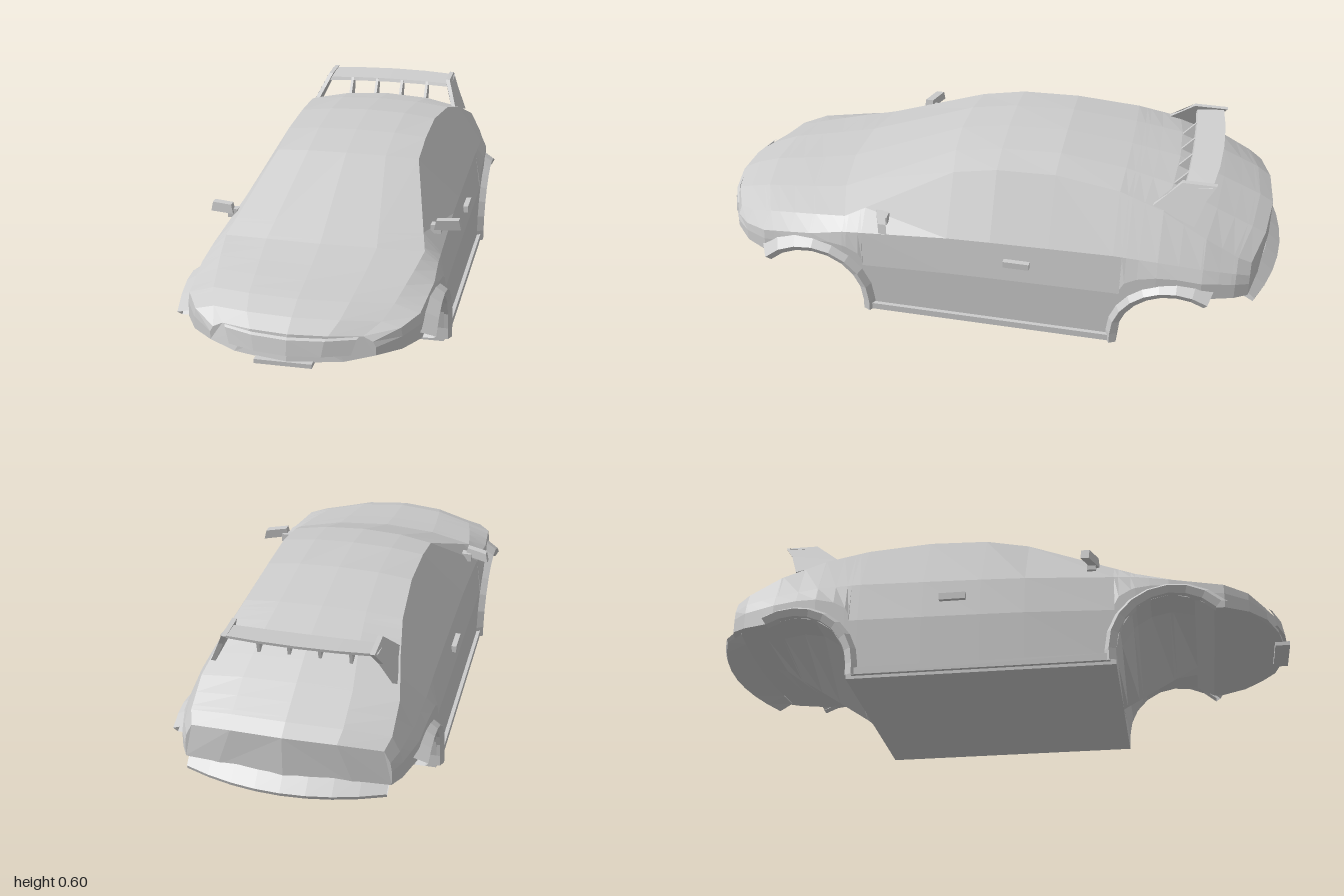
import * as THREE from 'three';

const material = new THREE.MeshStandardMaterial({ color: 0xcccccc, flatShading: true, side: THREE.DoubleSide });

// Body stations: z, widest x, belt x, belt y, top-edge x, top-edge y, centre y, plan bow
const KEYS = [
  [0.92, 0.26, 0.25, 0.235, 0.22, 0.25, 0.262, 1.2],
  [0.86, 0.33, 0.325, 0.26, 0.265, 0.275, 0.292, 0.9],
  [0.78, 0.375, 0.37, 0.275, 0.29, 0.3, 0.318, 0.8],
  [0.6, 0.39, 0.385, 0.3, 0.32, 0.335, 0.35, 0.6],
  [0.49, 0.395, 0.38, 0.32, 0.335, 0.355, 0.375, 0.5],
  [0.12, 0.395, 0.375, 0.345, 0.25, 0.535, 0.55, 0.4],
  [-0.03, 0.395, 0.375, 0.35, 0.25, 0.565, 0.58, 0.1],
  [-0.23, 0.395, 0.375, 0.355, 0.25, 0.572, 0.59, 0],
  [-0.45, 0.395, 0.375, 0.36, 0.265, 0.548, 0.565, -0.1],
  [-0.6, 0.395, 0.375, 0.355, 0.29, 0.505, 0.535, -0.3],
  [-0.75, 0.385, 0.365, 0.34, 0.32, 0.435, 0.47, -0.3],
  [-0.86, 0.355, 0.345, 0.325, 0.32, 0.375, 0.413, -0.5],
  [-0.905, 0.33, 0.325, 0.31, 0.305, 0.35, 0.385, -0.57],
];
const ARCHES = [
  { name: 'front', z: 0.61, dir: 1, lip: 0.19, end: 2.4 },
  { name: 'rear', z: -0.67, dir: -1, lip: 0.23, end: 2.1 },
];
const R = 0.19, AXLE = 0.05, LINER = 0.27;

function keyAt(z) {
  let i = 0;
  while (i < KEYS.length - 2 && z < KEYS[i + 1][0]) i++;
  const a = KEYS[i], b = KEYS[i + 1];
  const t = THREE.MathUtils.clamp((z - a[0]) / (b[0] - a[0]), 0, 1);
  return a.map((v, k) => v + (b[k] - v) * t);
}

// Heights of the lower edge: at the sides (wheel arch) and on the centre line
function lowerEdge(z) {
  const arch = ARCHES[z > 0 ? 0 : 1];
  const d = (z - arch.z) * arch.dir;
  if (d < -R - 0.0005) return [0, 0];
  const y = AXLE + Math.sqrt(Math.max(0, R * R - d * d));
  const chord = Math.min(1, Math.max(0, (d + R) / 0.34)) * arch.lip;
  return [d > 0 ? Math.max(arch.lip, y) : y, chord];
}

function makeMesh(name, points, index) {
  const geometry = new THREE.BufferGeometry();
  geometry.setAttribute('position', new THREE.Float32BufferAttribute(points.flat(), 3));
  geometry.setIndex(index);
  geometry.computeVertexNormals();
  const mesh = new THREE.Mesh(geometry, material);
  mesh.name = name;
  return mesh;
}

// Triangles joining consecutive rows of n points
function loftIndex(rows, n, closed) {
  const index = [];
  for (let i = 0; i < rows - 1; i++) {
    for (let j = 0; j < (closed ? n : n - 1); j++) {
      const a = i * n + j, b = i * n + (j + 1) % n;
      index.push(a, b, b + n, a, b + n, a + n);
    }
  }
  return index;
}

function loft(name, rows, closed = false) {
  return makeMesh(name, rows.flat(), loftIndex(rows.length, rows[0].length, closed));
}

function section(z) {
  const [, xw, xb, yb, xt, yt, yc, bow] = keyAt(z);
  const [y0, ym] = lowerEdge(z);
  const end = z > 0.81 || z < -0.87;
  const curve = x => z + bow * Math.max(0, xt * xt - x * x);
  const xi = Math.min(LINER, xw * 0.66);
  const under = x => (end ? curve(x) + (z > 0.9 ? 0.018 : 0) : z);
  const half = [
    [0, yc, curve(0)],
    [xt * 0.55, yt + (yc - yt) * 0.75, curve(xt * 0.55)],
    [xt, yt, z],
    [xb, yb, z],
    [xw, y0 + (yb - y0) * 0.6, z],
    [xw, y0, z],
    [xi, y0 - (z > 0.9 ? 0.01 : 0), under(xi)],
    [0, ym - (z > 0.9 ? 0.015 : 0), under(0)],
  ];
  return [...half, ...half.slice(1, 7).reverse().map(([x, y, w]) => [-x, y, w])];
}

// Shell with cabin, bonnet, floor and wheel wells in one closed loft
function makeBody() {
  const stations = KEYS.map(k => k[0]);
  for (const a of ARCHES) {
    for (let k = 0; k <= 8; k++) stations.push(a.z - a.dir * R * Math.cos(k * Math.PI / 8));
    stations.push(a.z - a.dir * (R + 0.001));
  }
  stations.sort((a, b) => b - a);
  const rows = stations.map(section);
  const n = rows[0].length;
  const index = loftIndex(rows.length, n, true);
  const cap = [[0, 7, 6], [0, 6, 1], [1, 6, 5], [1, 5, 2], [2, 5, 4], [2, 4, 3]];
  const last = (rows.length - 1) * n;
  for (const [a, b, c] of cap) {
    const [ma, mb, mc] = [a, b, c].map(k => (n - k) % n);
    index.push(a, b, c, ma, mc, mb);
    index.push(last + a, last + c, last + b, last + ma, last + mb, last + mc);
  }
  return makeMesh('body', rows.flat(), index);
}

// Raised lip around a wheel opening
function makeFlare(arch, side) {
  const profile = [[0.375, R], [0.408, R], [0.419, 0.213], [0.372, 0.243]];
  const rows = [profile.map(([x, r]) => [side * x, 0.01, arch.z - arch.dir * r])];
  for (let k = 0; k <= 8; k++) {
    const a = arch.end * k / 8;
    rows.push(profile.map(([x, r]) => [side * x, AXLE + r * Math.sin(a), arch.z - arch.dir * r * Math.cos(a)]));
  }
  return loft(arch.name + 'WheelFlare', rows);
}

function box(name, w, h, d, x, y, z) {
  const mesh = new THREE.Mesh(new THREE.BoxGeometry(w, h, d), material);
  mesh.name = name;
  mesh.position.set(x, y, z);
  return mesh;
}

// Prism from a [z, y] outline, thick in x; lean(y) gives its middle x
function plate(name, outline, thick, lean) {
  const rows = [-1, 1].map(s => outline.map(([z, y]) => [lean(y) + s * thick / 2, y, z]));
  const n = outline.length, index = loftIndex(2, n, true);
  for (let k = 1; k < n - 1; k++) index.push(0, k + 1, k, n, n + k, n + k + 1);
  return makeMesh(name, rows.flat(), index);
}

function makeSpoiler() {
  const group = new THREE.Group();
  group.name = 'spoiler';
  const rows = [-1, -0.5, 0, 0.5, 1].map(t => {
    const x = t * 0.25, z = 0.02 * t * t, y = -0.004 * t * t;
    return [[x, 0.57 + y, -0.665 + z * 0.5], [x, 0.582 + y, -0.67 + z * 0.5],
      [x, 0.596 + y, -0.77 + z], [x, 0.586 + y, -0.768 + z]];
  });
  group.add(loft('spoilerWing', rows, true));
  for (const x of [-0.15, -0.05, 0.05, 0.15]) {
    group.add(plate('spoilerStrut', [[-0.61, 0.515], [-0.665, 0.58], [-0.7, 0.58], [-0.68, 0.5]], 0.01, () => x));
  }
  const fin = [[-0.56, 0.515], [-0.605, 0.55], [-0.65, 0.597], [-0.765, 0.597], [-0.735, 0.55], [-0.705, 0.465]];
  for (const s of [-1, 1]) {
    group.add(plate('spoilerEndPlate', fin, 0.016, y => s * (0.235 + (0.597 - y) * 0.45)));
  }
  return group;
}

function makeMirror(s) {
  const group = new THREE.Group();
  group.name = s > 0 ? 'leftMirror' : 'rightMirror';
  const outline = [[0.345, 0.382], [0.352, 0.414], [0.424, 0.41], [0.432, 0.376]];
  const rows = [0.014, -0.014].map(d => outline.map(([x, y]) => [s * x, y, 0.36 - (x - 0.34) * 0.35 + d]));
  const shell = loft('mirrorHousing', rows, true);
  shell.geometry.setIndex([...shell.geometry.index.array, 0, 1, 2, 0, 2, 3, 4, 6, 5, 4, 7, 6]);
  const foot = box('mirrorFoot', 0.035, 0.03, 0.03, s * 0.35, 0.38, 0.345);
  group.add(shell, foot);
  return group;
}

// Nose panel, lower lip and rear lip follow the plan curve of the ends
function makeTrim() {
  const group = new THREE.Group();
  group.name = 'bumperTrim';
  const nose = x => 0.92 + 1.2 * (0.0484 - x * x);
  const grille = [-1, -0.55, 0, 0.55, 1].map(t => [
    [t * 0.21, 0.253, nose(t * 0.2) + 0.002], [t * 0.205, 0.248, nose(t * 0.2) + 0.012],
    [t * 0.19, 0.2, nose(t * 0.19) + 0.021], [t * 0.188, 0.196, nose(t * 0.19) + 0.01]]);
  group.add(loft('grille', grille));
  group.add(box('frontLip', 0.18, 0.014, 0.05, -0.01, 0.173, 0.975));
  const tail = [];
  for (let k = -4; k <= 4; k++) {
    const t = k / 4, x = t * 0.32, z = 0.07 * t * t;
    tail.push([[x, 0.25, -0.955 + z], [x, 0.21, -1 + z], [x, 0.197, -0.995 + z], [x, 0.225, -0.9 + z * 0.3]]);
  }
  group.add(loft('rearLip', tail, true));
  return group;
}

export function createModel() {
  const model = new THREE.Group();
  model.name = 'carBody';
  model.add(makeBody(), makeSpoiler(), makeTrim());
  for (const s of [-1, 1]) {
    for (const arch of ARCHES) model.add(makeFlare(arch, s));
    model.add(makeMirror(s));
    model.add(box('sill', 0.03, 0.025, 0.86, s * 0.393, 0.023, -0.03));
    model.add(box('doorHandle', 0.02, 0.024, 0.09, s * 0.391, 0.283, -0.125));
  }
  return model;
}
